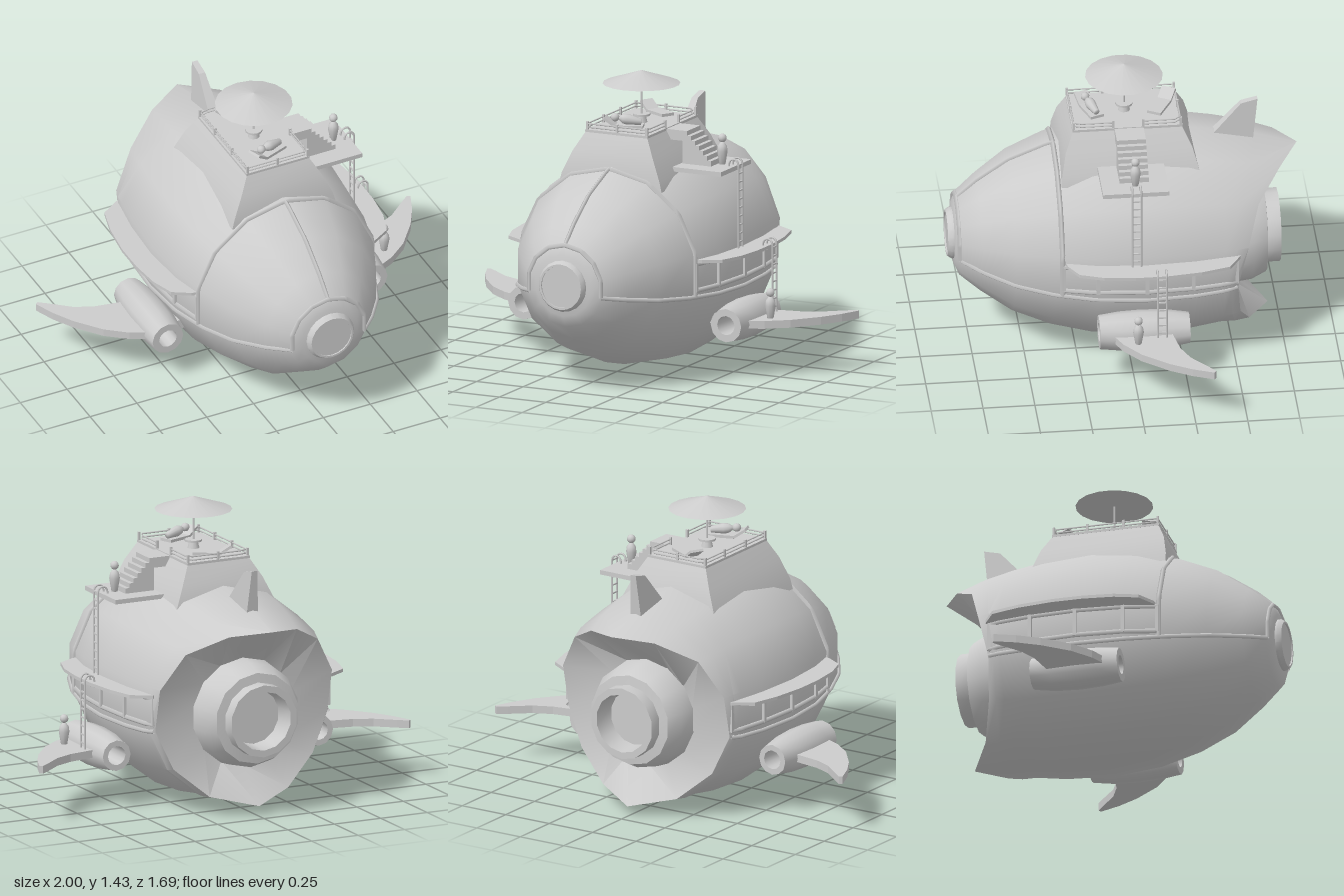
import * as THREE from 'three';
import { toCreasedNormals } from 'three/addons/utils/BufferGeometryUtils.js';

const mat = new THREE.MeshStandardMaterial({ color: 0xcccccc, side: THREE.DoubleSide });
const V = (x, y, z) => new THREE.Vector3(x, y, z);
const CY = 0.545, SIDES = 14;
// Hull stations [z, radius] from nose to stern
const STATIONS = [[0.82, 0], [0.82, 0.15], [0.795, 0.205], [0.7, 0.285], [0.55, 0.39], [0.37, 0.465],
  [0.17, 0.515], [-0.06, 0.535], [-0.3, 0.523], [-0.45, 0.5]];
// Stern rim [z, radius] from keel up to crown
const RIM = [[-0.7, 0.485], [-0.59, 0.488], [-0.53, 0.48], [-0.51, 0.475], [-0.56, 0.475],
  [-0.62, 0.455], [-0.74, 0.42], [-0.84, 0.405]];

function hullRadius(z) {
  for (let i = 2; i < STATIONS.length; i++) {
    const [z0, r0] = STATIONS[i - 1], [z1, r1] = STATIONS[i];
    if (z >= z1) return r0 + (r1 - r0) * Math.min(1, Math.max(0, (z0 - z) / (z0 - z1)));
  }
  return 0.5 + (z + 0.45) * 0.4;
}
const around = (j, r, z, cy = CY) => {
  const a = j * 2 * Math.PI / SIDES;
  return V(r * Math.sin(a), cy - r * Math.cos(a), z);
};
const onHull = (j, z, lift = 0) => around(j, hullRadius(z) + lift, z);
const hullX = z => hullRadius(z) * Math.sin(6 * Math.PI / SIDES);

function hullGeometry() {
  const rings = STATIONS.map(([z, r]) => Array.from({ length: SIDES }, (_, j) => around(j, r, z)));
  const rim = j => RIM[Math.min(j, SIDES - j)];
  const loop = f => rings.push(Array.from({ length: SIDES }, (_, j) => f(j)));
  loop(j => around(j, rim(j)[1] * 0.45 + 0.5 * 0.55 + 0.005, -0.45 + (rim(j)[0] + 0.45) * 0.5));
  loop(j => around(j, rim(j)[1], rim(j)[0]));
  loop(j => around(j, 0.26, -0.52, 0.49));
  loop(j => around(j, 0, -0.52, 0.49));
  const index = [];
  for (let i = 0; i < rings.length - 1; i++) for (let j = 0; j < SIDES; j++) {
    const k = (j + 1) % SIDES, a = i * SIDES + j, b = i * SIDES + k, d = a + SIDES, c = b + SIDES;
    index.push(a, d, c, a, c, b);
  }
  const g = new THREE.BufferGeometry().setFromPoints(rings.flat());
  g.setIndex(index);
  return toCreasedNormals(g, 0.55);
}

function add(parent, name, geo, x = 0, y = 0, z = 0) {
  const m = new THREE.Mesh(geo, mat);
  m.name = name;
  m.position.set(x, y, z);
  parent.add(m);
  return m;
}
const box = (p, name, w, h, d, x, y, z) => add(p, name, new THREE.BoxGeometry(w, h, d), x, y, z);
// Straight-sided rod through points
function rod(p, name, pts, r = 0.01, sides = 4) {
  const path = new THREE.CurvePath();
  for (let i = 1; i < pts.length; i++) path.add(new THREE.LineCurve3(pts[i - 1], pts[i]));
  return add(p, name, new THREE.TubeGeometry(path, pts.length * 5, r, sides, false));
}
// Lathe about the z axis, profile as [radius, z]
function latheZ(p, name, profile, sides, x, y) {
  const g = new THREE.LatheGeometry(profile.map(([r, z]) => new THREE.Vector2(r, z)), sides);
  return add(p, name, toCreasedNormals(g.rotateX(Math.PI / 2), 0.6), x, y, 0);
}
// Horizontal plate from [x, z] outline
function plate(p, name, outline, side, y, h) {
  const s = new THREE.Shape(outline.map(([x, z]) => new THREE.Vector2(side * x, -z)));
  const g = new THREE.ExtrudeGeometry(s, { depth: h, bevelEnabled: false }).rotateX(-Math.PI / 2);
  return add(p, name, g, 0, y, 0);
}
function figure(p, name, x, y, z) {
  const g = new THREE.Group();
  g.name = name;
  g.position.set(x, y, z);
  const prof = [[0, 0], [0.015, 0], [0.026, 0.065], [0.022, 0.09], [0.008, 0.108], [0, 0.11]];
  add(g, 'body', new THREE.LatheGeometry(prof.map(q => new THREE.Vector2(...q)), 10));
  add(g, 'head', new THREE.SphereGeometry(0.021, 10, 8), 0, 0.128, 0);
  p.add(g);
  return g;
}
// Ladder whose rails hook over inward at the top
function ladder(p, name, x, z, y0, y1, hook) {
  const g = new THREE.Group();
  g.name = name;
  for (const s of [-0.021, 0.021]) {
    const pts = [V(x, y0, z + s)];
    for (let i = 0; i <= 6; i++) {
      const a = i * Math.PI / 6;
      pts.push(V(x - hook + hook * Math.cos(a), y1 + hook * Math.sin(a), z + s));
    }
    pts.push(V(x - 2 * hook, y1 - 0.04, z + s));
    rod(g, 'rail', pts, 0.005, 6);
  }
  for (let y = y0 + 0.03; y < y1; y += 0.042) box(g, 'rung', 0.007, 0.007, 0.04, x, y, z);
  p.add(g);
}

export function createModel() {
  const root = new THREE.Group();
  root.name = 'submarine';
  add(root, 'hull', hullGeometry());

  // Nose lamp and stern nozzle
  latheZ(root, 'noseLamp', [[0.125, 0.8], [0.125, 0.83], [0.112, 0.85], [0.102, 0.85], [0.102, 0.843], [0, 0.843]], 20, 0, CY);
  latheZ(root, 'sternNozzle', [[0.27, -0.5], [0.257, -0.61], [0.224, -0.68], [0.178, -0.685], [0.178, -0.75],
    [0.145, -0.75], [0.135, -0.64], [0, -0.64]].reverse(), 14, 0, 0.49);

  // Windshield frame
  const arch = z => Array.from({ length: 9 }, (_, i) => onHull(3 + i, z, 0.002));
  rod(root, 'windshieldRearFrame', arch(0.335), 0.013);
  rod(root, 'windshieldFrontFrame', arch(0.8), 0.013);
  const ribZ = [0.8, 0.7, 0.55, 0.37, 0.335];
  rod(root, 'windshieldCentreRib', ribZ.map(z => onHull(7, z, 0.002)), 0.011);

  // Tail fin, tapering in thickness upward
  const finShape = new THREE.Shape([[0.42, 1.02], [0.57, 1.19], [0.65, 1.21], [0.625, 0.98]].map(q => new THREE.Vector2(...q)));
  const fin = new THREE.ExtrudeGeometry(finShape, { depth: 0.06, bevelEnabled: false }).translate(0, 0, -0.03).rotateY(Math.PI / 2);
  const fp = fin.attributes.position;
  for (let i = 0; i < fp.count; i++) fp.setX(i, fp.getX(i) * (1 - 0.5 * (fp.getY(i) - 1) / 0.21));
  fin.computeVertexNormals();
  add(root, 'tailFin', fin);

  for (const s of [-1, 1]) {
    const side = new THREE.Group();
    side.name = s > 0 ? 'leftSide' : 'rightSide';
    root.add(side);
    // Beltline and side windows
    const zs = [0.335, 0.17, -0.06, -0.3, -0.45, -0.505];
    const line = (y, lift) => zs.map(z => V(s * (hullX(z) + lift), y, z));
    rod(side, 'beltline', [0.8, 0.7, 0.55, 0.37, ...zs].map(z => onHull(s > 0 ? 3 : 11, z, 0.003)), 0.011);
    rod(side, 'windowSill', line(0.47, 0.002), 0.012);
    rod(side, 'windowHeader', line(0.6, 0.002), 0.012);
    for (const z of [0.33, 0.168, -0.065, -0.29, -0.503])
      box(side, 'windowPost', 0.024, 0.14, 0.018, s * hullX(z), 0.535, z);
    // Curved awning above the windows
    plate(side, 'awning', [[0.42, 0.33], [0.49, 0.315], [0.575, 0.265], [0.615, 0.15], [0.632, 0], [0.632, -0.15],
      [0.612, -0.32], [0.575, -0.46], [0.48, -0.52], [0.42, -0.5]], s, 0.605, 0.016);
    // Open engine pod and swept wing
    latheZ(side, 'enginePod', [[0.047, 0.17], [0.082, 0.17], [0.094, 0.07], [0.098, -0.04], [0.092, -0.16], [0.075, -0.265],
      [0.047, -0.265], [0.047, 0.17]], 12, s * 0.545, 0.275);
    plate(side, 'wing', [[0.62, 0.105], [0.7, 0.068], [0.8, -0.01], [0.9, -0.135], [0.96, -0.24], [1, -0.34], [0.985, -0.35],
      [0.94, -0.315], [0.85, -0.24], [0.76, -0.2], [0.62, -0.175]], s, 0.255, 0.038);
    box(side, 'podPylon', 0.1, 0.05, 0.3, s * 0.44, 0.29, -0.04);
  }

  // Flared conning tower
  const levels = [[0.275, 0.32, -0.35, 0.93], [0.262, 0.317, -0.345, 0.98], [0.215, 0.295, -0.315, 1.085], [0.165, 0.255, -0.27, 1.175]];
  const pts = levels.flatMap(([x, f, b, y]) => [V(x, y, f), V(x, y, b), V(-x, y, b), V(-x, y, f)]);
  const idx = [12, 13, 14, 12, 14, 15];
  for (let i = 0; i < 3; i++) for (let j = 0; j < 4; j++) {
    const a = i * 4 + j, b = i * 4 + (j + 1) % 4;
    idx.push(a, b, b + 4, a, b + 4, a + 4);
  }
  const tower = new THREE.BufferGeometry().setFromPoints(pts);
  tower.setIndex(idx);
  add(root, 'conningTower', toCreasedNormals(tower, 0.5));
  box(root, 'towerDeck', 0.335, 0.012, 0.53, 0, 1.178, -0.008);

  // Deck railing, open at the stairs
  const rail = new THREE.Group();
  rail.name = 'deckRailing';
  root.add(rail);
  for (const y of [1.195, 1.212])
    rod(rail, 'rail', [V(0.16, y, 0.06), V(0.16, y, 0.25), V(-0.16, y, 0.25), V(-0.16, y, -0.265), V(0.16, y, -0.265), V(0.16, y, -0.085)], 0.004);
  for (const [x, z] of [[0.16, 0.06], [0.16, 0.25], [0, 0.25], [-0.16, 0.25], [-0.16, 0.08], [-0.16, -0.1], [-0.16, -0.265], [0, -0.265], [0.16, -0.265], [0.16, -0.085]])
    box(rail, 'post', 0.011, 0.045, 0.011, x, 1.2, z);

  // Parasol and table
  add(root, 'parasol', new THREE.ConeGeometry(0.187, 0.063, 18), 0, 1.408, -0.008);
  add(root, 'parasolPole', new THREE.CylinderGeometry(0.005, 0.005, 0.2, 8), 0, 1.28, -0.008);
  add(root, 'tableTop', new THREE.CylinderGeometry(0.042, 0.042, 0.01, 12), 0, 1.222, -0.008);
  add(root, 'tableBase', new THREE.CylinderGeometry(0.02, 0.03, 0.04, 10), 0, 1.2, -0.008);

  // Deck loungers
  for (const [z, turn] of [[0.16, 0.35], [-0.19, -0.5]]) {
    const g = new THREE.Group();
    g.name = 'lounger';
    g.position.set(-0.01, 1.185, z);
    g.rotation.y = turn;
    box(g, 'seat', 0.13, 0.014, 0.07, 0.03, 0.014, 0);
    box(g, 'backrest', 0.07, 0.012, 0.07, -0.063, 0.033, 0).rotation.z = -0.6;
    if (z > 0) figure(g, 'sunbather', 0.085, 0.035, 0).rotation.z = Math.PI / 2 - 0.15;
    root.add(g);
  }

  // Side platform with stairs
  box(root, 'sidePlatform', 0.29, 0.022, 0.32, 0.36, 1.008, -0.015);
  for (let i = 0; i < 7; i++) {
    const top = 1.18 - i * 0.0225;
    box(root, 'stairStep', 0.024, top - 1.01, 0.14, 0.265 + i * 0.0215, (top + 1.01) / 2, -0.015);
  }
  box(root, 'stairLanding', 0.11, 0.05, 0.14, 0.21, 1.155, -0.015);

  // Ladders and standing figures
  ladder(root, 'upperLadder', 0.528, -0.015, 0.62, 1.03, 0.025);
  ladder(root, 'lowerLadder', 0.655, -0.125, 0.29, 0.63, 0.025);
  figure(root, 'platformFigure', 0.43, 1.02, -0.018);
  figure(root, 'wingFigure', 0.695, 0.29, -0.005);
  return root;
}
